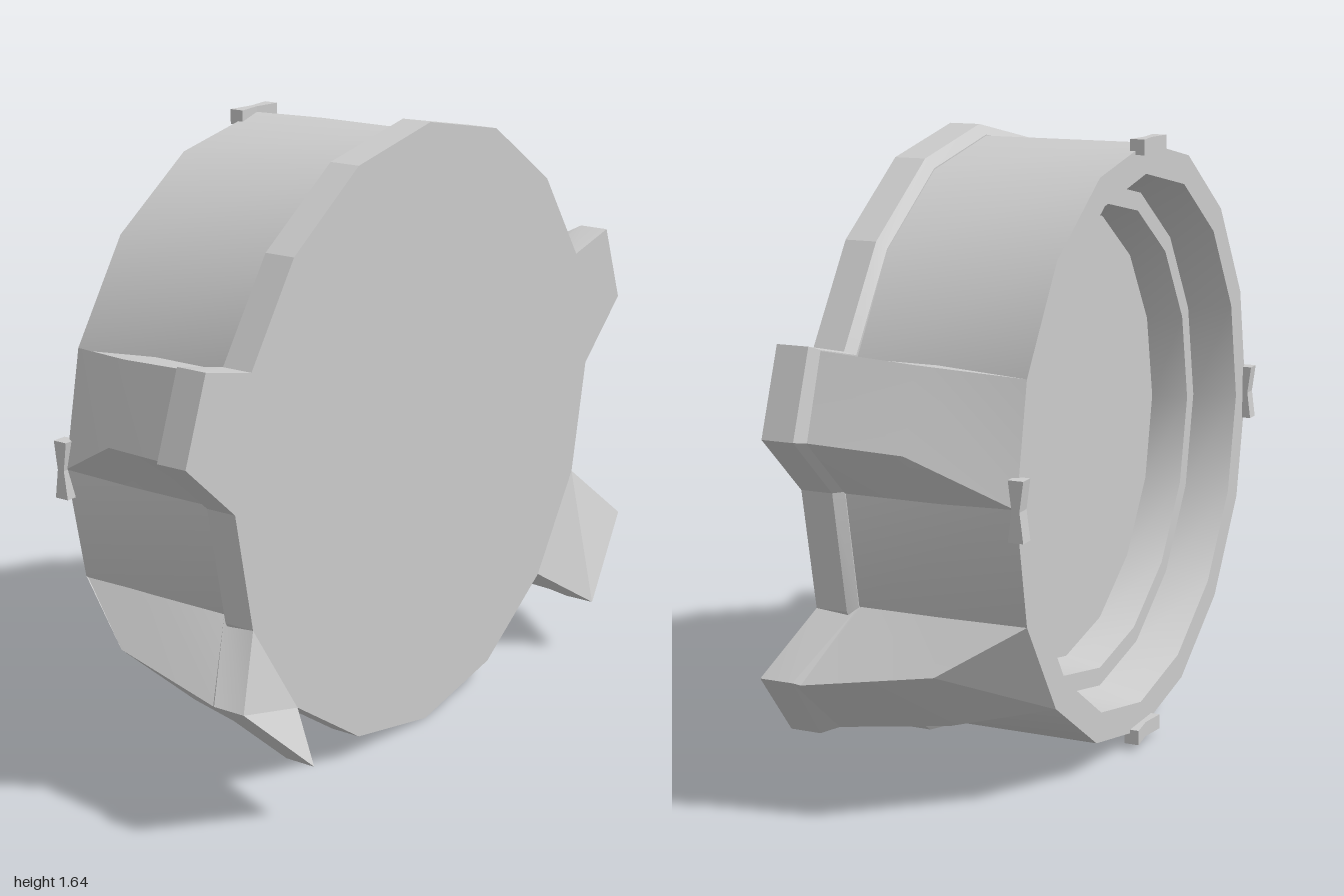
import * as THREE from 'three';
import { toCreasedNormals } from 'three/addons/utils/BufferGeometryUtils.js';

const CY = 0.825; // height of the drum axis
const material = new THREE.MeshStandardMaterial({ color: 0xcccccc });

function addMesh(parent, name, geometry, crease = 0.45) {
  const mesh = new THREE.Mesh(toCreasedNormals(geometry, crease), material);
  mesh.name = name;
  parent.add(mesh);
  return mesh;
}

// Joins cross-sections (front to back, counter-clockwise from the front) and caps both ends
function loft(sections) {
  const n = sections[0].length;
  const last = (sections.length - 1) * n;
  const index = [];
  for (let s = 0; s < sections.length - 1; s++) {
    for (let i = 0; i < n; i++) {
      const j = (i + 1) % n;
      const a = s * n + i, b = s * n + j;
      index.push(a, a + n, b, b, a + n, b + n);
    }
  }
  const outline = sections[0].map(p => new THREE.Vector2(p[0], p[1]));
  for (const [a, b, c] of THREE.ShapeUtils.triangulateShape(outline, [])) {
    index.push(a, b, c, last + a, last + c, last + b);
  }
  const geometry = new THREE.BufferGeometry();
  geometry.setAttribute('position', new THREE.Float32BufferAttribute(sections.flat(2), 3));
  geometry.setIndex(index);
  return geometry;
}

const mirrored = sections =>
  sections.map(s => s.map(([x, y, z]) => [-x, y, z]).reverse());

export function createModel() {
  const group = new THREE.Group();

  // Hollow sixteen-sided drum, open at the back with a stepped recess
  const profile = [
    [0, -0.11], [0.61, -0.11], [0.63, -0.21], [0.68, -0.21],
    [0.71, -0.33], [0.79, -0.33], [0.79, 0.14],
  ].map(p => new THREE.Vector2(...p));
  const drum = new THREE.LatheGeometry(profile, 16);
  drum.rotateX(Math.PI / 2);
  drum.translate(0, CY, 0);
  addMesh(group, 'drum', drum);

  // Front plate with two ears and a chamfered rear edge
  const half = [
    [0, 0.005], [0.314, 0.067], [0.58, 0.245], [0.757, 0.511], [0.82, 0.825], [1, 0.985],
    [0.92, 1.2], [0.75, 1.16], [0.58, 1.405], [0.314, 1.583], [0, 1.645],
  ];
  const outline = [...half, ...half.slice(1, -1).reverse().map(([x, y]) => [-x, y])];
  const ring = (scale, z) => outline.map(([x, y]) => [x * scale, CY + (y - CY) * scale, z]);
  addMesh(group, 'frontPlate', loft([ring(1, 0.23), ring(1, 0.145), ring(0.967, 0.125)]), 0.3);

  // Upper ear supports tapering back into the drum
  const ear = [
    [[0.72, 1.14, 0.13], [0.79, 0.82, 0.13], [0.97, 0.98, 0.13], [0.895, 1.187, 0.13]],
    [[0.72, 1.14, -0.09], [0.79, 0.82, -0.09], [0.90, 0.955, -0.09], [0.835, 1.16, -0.09]],
    [[0.72, 1.12, -0.33], [0.785, 0.82, -0.33], [0.79, 0.825, -0.33], [0.73, 1.127, -0.33]],
  ];

  // Lower feet that project in front of the plate
  const foot = [
    [[0.757, 0.511, 0.23], [0.58, 0.245, 0.23], [0.68, 0.155, 0.355], [0.90, 0.36, 0.31]],
    [[0.735, 0.515, 0.13], [0.565, 0.26, 0.13], [0.68, 0.155, 0.27], [0.90, 0.36, 0.22]],
    [[0.73, 0.52, 0.12], [0.56, 0.265, 0.12], [0.66, 0.172, 0.225], [0.885, 0.352, 0.205]],
    [[0.73, 0.52, -0.10], [0.56, 0.265, -0.10], [0.62, 0.205, -0.07], [0.83, 0.40, -0.13]],
    [[0.725, 0.52, -0.33], [0.555, 0.27, -0.33], [0.559, 0.266, -0.33], [0.73, 0.523, -0.33]],
  ];
  for (const [name, sections] of [['Ear', ear], ['Foot', foot]]) {
    addMesh(group, 'left' + name, loft(sections), 0.3);
    addMesh(group, 'right' + name, loft(mirrored(sections)), 0.3);
  }

  // Four small bowed clips around the rear rim
  const bow = new THREE.Shape([
    [-0.075, 0.315], [0, 0.325], [0.075, 0.315], [0.075, 0.355], [0, 0.345], [-0.075, 0.355],
  ].map(p => new THREE.Vector2(...p)));
  for (let i = 0; i < 4; i++) {
    const clip = new THREE.ExtrudeGeometry(bow, { depth: 0.04, bevelEnabled: false });
    clip.rotateX(-Math.PI / 2); // bow depth runs to the rear
    clip.translate(0, 0.765, 0);
    clip.rotateZ(i * Math.PI / 2);
    clip.translate(0, CY, 0);
    addMesh(group, 'rimClip' + (i + 1), clip, 0.1);
  }

  return group;
}
